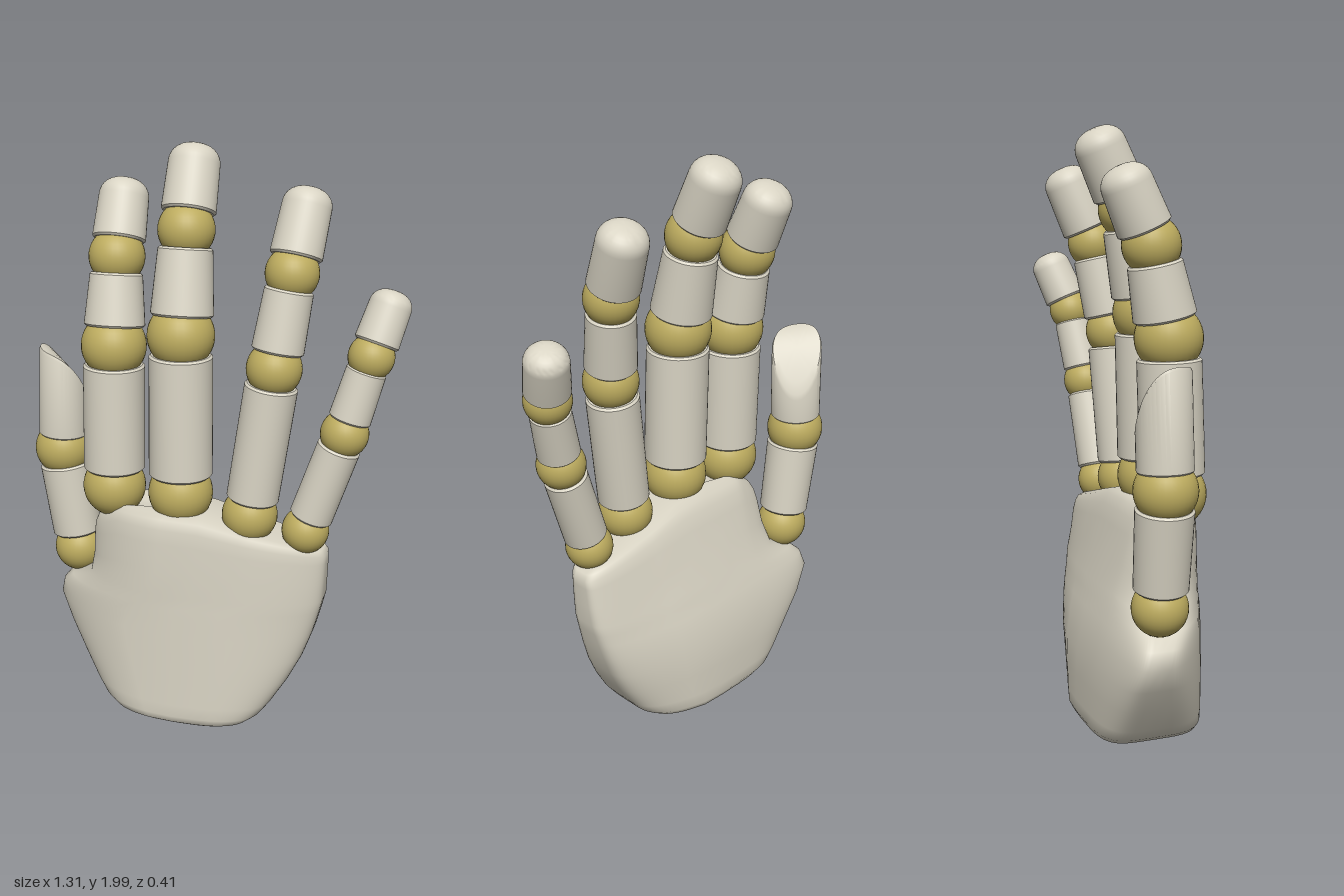
import * as THREE from 'three';
import { toCreasedNormals } from 'three/addons/utils/BufferGeometryUtils.js';

const shell = new THREE.MeshStandardMaterial({ name: 'warm grey shell', color: 0xd9d4c4 });
const gold = new THREE.MeshStandardMaterial({ name: 'dull gold joint', color: 0xbdac5f });
const UP = new THREE.Vector3(0, 1, 0);

// Mesh whose local y axis runs from a towards b
function along(geo, mat, name, a, b) {
  const mesh = new THREE.Mesh(geo, mat);
  mesh.name = name;
  mesh.position.copy(a);
  mesh.quaternion.setFromUnitVectors(UP, b.clone().sub(a).normalize());
  return mesh;
}

function lathe(points) {
  return new THREE.LatheGeometry(points.map(p => new THREE.Vector2(...p)), 40);
}

// Tube section with softly bevelled ends, from height y0 to y1
function sectionGeo(r0, r1, y0, y1) {
  const e = 0.007;
  return toCreasedNormals(lathe([[0, y0], [r0 - e, y0], [r0, y0 + e], [r1, y1 - e], [r1 - e, y1], [0, y1]]), 0.6);
}

// Fingertip with rounded end
function tipGeo(r0, r1, y0, y1) {
  const e = 0.007, dome = r1 * 0.75;
  const pts = [[0, y0], [r0 - e, y0], [r0, y0 + e]];
  for (let i = 0; i <= 8; i++) {
    const t = (i / 8) * Math.PI / 2;
    pts.push([i === 8 ? 0 : r1 * Math.pow(Math.cos(t), 0.8), y1 - dome + dome * Math.sin(t)]);
  }
  return toCreasedNormals(lathe(pts), 0.6);
}

// Thumb tip: tube whose end curves down towards the inner back side
function thumbTipGeo(r, y0, y1) {
  const e = 0.008;
  const geo = lathe([[0, y0], [r - e, y0], [r, y0 + e], [r, y1 - 0.01], [r * 0.95, y1],
    [r * 0.75, y1], [r * 0.5, y1], [r * 0.25, y1], [0, y1]]);
  const pos = geo.attributes.position;
  for (let i = 0; i < pos.count; i++) {
    if (pos.getY(i) < y0 + 0.05) continue;
    const s = (pos.getX(i) - pos.getZ(i)) / (Math.SQRT2 * r);
    const side = (pos.getX(i) + pos.getZ(i)) / (Math.SQRT2 * r);
    pos.setY(i, pos.getY(i) - 0.21 * ((1 + s) / 2) ** 2 - 0.012 * side);
  }
  return toCreasedNormals(geo, 0.6);
}

function ball(r, p, name) {
  const mesh = new THREE.Mesh(new THREE.SphereGeometry(r, 32, 20), gold);
  mesh.name = name;
  mesh.position.copy(p);
  return mesh;
}

// p: knuckle, middle joint, end joint, tip; balls: joint radii; radii: section start and end;
// gaps: space before and after each joint
const fingers = [
  { name: 'indexFinger', gaps: [0.063, 0.063, 0.053], balls: [0.108, 0.11, 0.094],
    p: [[-0.32, 0.84, 0.045], [-0.315, 1.338, 0.03], [-0.318, 1.626, -0.03], [-0.318, 1.865, -0.135]],
    radii: [[0.105, 0.104], [0.102, 0.088], [0.089, 0.083]] },
  { name: 'middleFinger', gaps: [0.063, 0.063, 0.055], balls: [0.11, 0.112, 0.094],
    p: [[-0.075, 0.85, 0.063], [-0.075, 1.396, 0.048], [-0.075, 1.73, -0.02], [-0.075, 1.985, -0.135]],
    radii: [[0.108, 0.106], [0.104, 0.09], [0.09, 0.085]] },
  { name: 'ringFinger', gaps: [0.057, 0.055, 0.05], balls: [0.094, 0.092, 0.088],
    p: [[0.167, 0.795, 0.06], [0.237, 1.308, 0.04], [0.277, 1.612, -0.015], [0.308, 1.868, -0.12]],
    radii: [[0.088, 0.088], [0.086, 0.08], [0.086, 0.081]] },
  { name: 'littleFinger', gaps: [0.05, 0.047, 0.042], balls: [0.08, 0.08, 0.076],
    p: [[0.354, 0.75, 0.035], [0.471, 1.102, 0.02], [0.541, 1.358, -0.015], [0.598, 1.56, -0.09]],
    radii: [[0.073, 0.072], [0.07, 0.066], [0.074, 0.07]] },
];

function makeFinger({ name, p, balls, radii, gaps }) {
  const g = new THREE.Group();
  g.name = name;
  const pts = p.map(c => new THREE.Vector3(...c));
  for (let i = 0; i < 3; i++) {
    const len = pts[i].distanceTo(pts[i + 1]);
    g.add(ball(balls[i], pts[i], name + 'Joint' + (i + 1)));
    const geo = i < 2 ? sectionGeo(...radii[i], gaps[i], len - gaps[i + 1]) : tipGeo(...radii[i], gaps[i], len);
    g.add(along(geo, shell, name + (i < 2 ? 'Section' + (i + 1) : 'Tip'), pts[i], pts[i + 1]));
  }
  return g;
}

function makeThumb() {
  const g = new THREE.Group();
  g.name = 'thumb';
  const a = new THREE.Vector3(-0.505, 0.53, -0.072);
  const b = new THREE.Vector3(-0.555, 0.91, -0.075);
  const c = new THREE.Vector3(-0.538, 1.28, -0.08);
  g.add(ball(0.09, a, 'thumbBaseJoint'), ball(0.1, b, 'thumbMiddleJoint'));
  g.add(along(sectionGeo(0.087, 0.092, 0.06, a.distanceTo(b) - 0.055), shell, 'thumbSection', a, b));
  g.add(along(thumbTipGeo(0.088, 0.052, b.distanceTo(c)), shell, 'thumbTip', b, c));
  return g;
}

// Palm: rows of [height, right edge, left edge, back depth, fullness]
const palmRows = [
  [0.008, -0.29, 0.15, -0.18, 0.87], [0.02, -0.332, 0.187, -0.197, 0.96], [0.045, -0.37, 0.222, -0.203, 1],
  [0.09, -0.408, 0.257, -0.205, 1], [0.18, -0.47, 0.312, -0.205, 1], [0.27, -0.53, 0.356, -0.203, 1],
  [0.36, -0.575, 0.386, -0.188, 1], [0.42, -0.56, 0.401, -0.172, 1], [0.465, -0.515, 0.411, -0.157, 1],
  [0.51, -0.425, 0.42, -0.145, 1], [0.6, -0.405, 0.424, -0.115, 1], [0.7, -0.398, 0.427, -0.09, 1],
  [0.75, -0.392, 0.427, -0.075, 0.98], [0.785, -0.375, 0.415, -0.065, 0.92], [0.8, -0.34, 0.385, -0.06, 0.78],
];

function palmGeo() {
  const N = 72, pos = [], idx = [];
  const power = v => Math.sign(v) * Math.pow(Math.abs(v), 0.45);
  const point = (row, u, v) => {
    const [y, x0, x1, back, full] = row;
    const x = (x0 + x1) / 2 + (x1 - x0) / 2 * u;
    const d = x + 0.07;
    const front = 0.207 - 0.03 * y - (d < 0 ? 0.76 : 0.43) * d * d;
    const rear = back + Math.max(0, x) * 0.27 * (1 - y / 0.8);
    // upper edge slopes down to both sides
    const drop = 0.27 * Math.max(0, x) + 0.6 * Math.max(0, -x - 0.28);
    pos.push(x, y - drop * Math.pow(y / 0.8, 4), (front + rear) / 2 + (front - rear) / 2 * full * v);
  };
  for (const row of palmRows)
    for (let j = 0; j < N; j++) {
      const t = (j / N) * Math.PI * 2;
      point(row, power(Math.cos(t)), power(Math.sin(t)));
    }
  const last = palmRows.length - 1, bottom = palmRows.length * N, top = bottom + 1;
  point(palmRows[0], 0, 0);
  point(palmRows[last], 0, 0);
  for (let j = 0; j < N; j++) {
    const k = (j + 1) % N;
    for (let i = 0; i < last; i++) {
      const a = i * N + j, b = i * N + k;
      idx.push(a, a + N, b, b, a + N, b + N);
    }
    idx.push(bottom, j, k, top, last * N + k, last * N + j);
  }
  const geo = new THREE.BufferGeometry();
  geo.setAttribute('position', new THREE.Float32BufferAttribute(pos, 3));
  geo.setIndex(idx);
  geo.computeVertexNormals();
  return geo;
}

export function createModel() {
  const hand = new THREE.Group();
  hand.name = 'mechanicalHand';
  const palm = new THREE.Mesh(palmGeo(), shell);
  palm.name = 'palm';
  hand.add(palm, makeThumb(), ...fingers.map(makeFinger));
  return hand;
}
